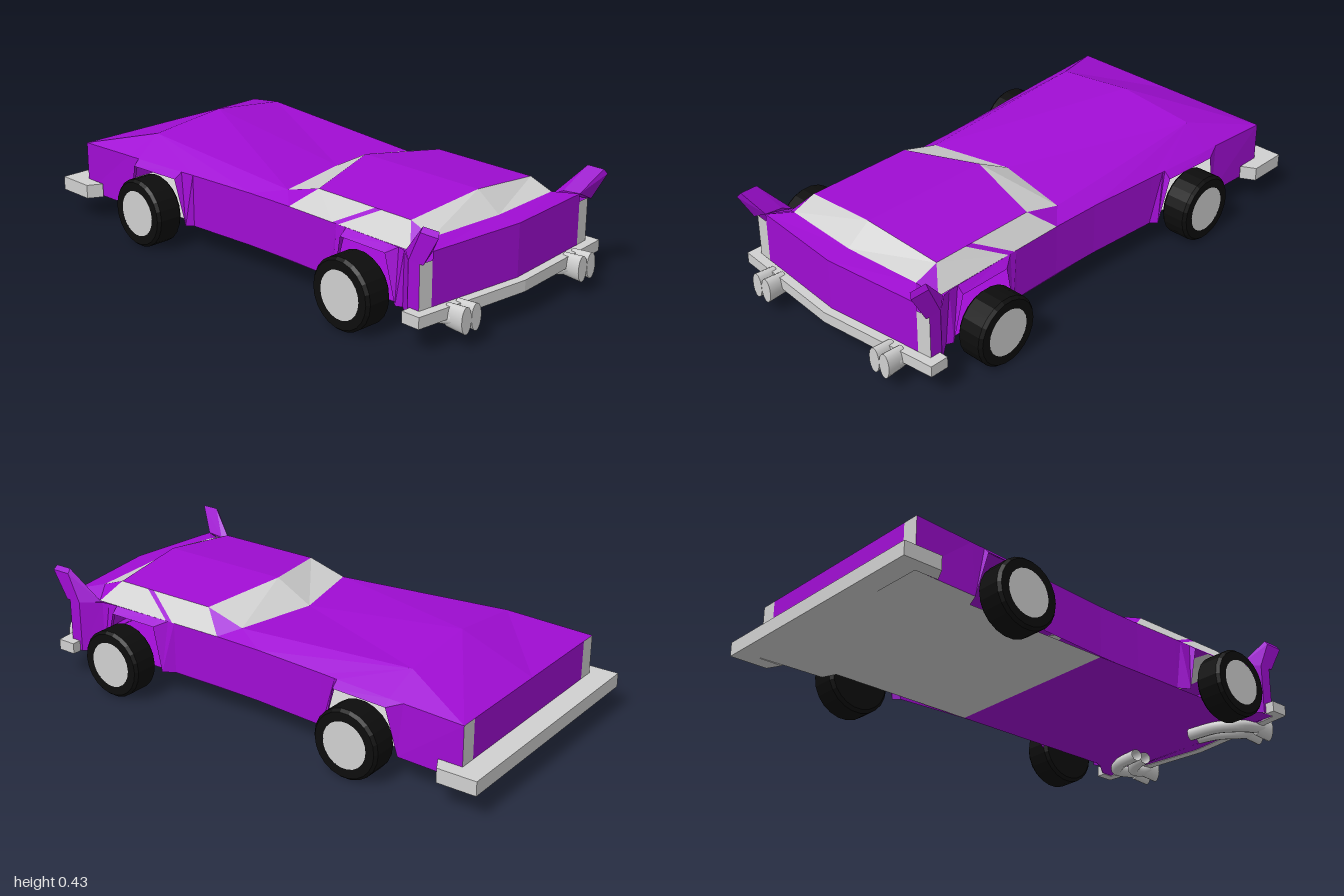
import * as THREE from 'three';
import { ConvexGeometry } from 'three/addons/geometries/ConvexGeometry.js';

const paint = new THREE.MeshStandardMaterial({ color: 0xa00dd3, side: THREE.DoubleSide });
paint.name = 'purplePaint';
const silver = new THREE.MeshStandardMaterial({ color: 0xd0d0d0, side: THREE.DoubleSide });
silver.name = 'silver';
const rubber = new THREE.MeshStandardMaterial({ color: 0x0d0d0d });
rubber.name = 'blackRubber';

// Flat-shaded panels: each polygon is given for the +x half and mirrored, facing outwards
function panels(name, material, polygons) {
  const pos = [];
  const a = new THREE.Vector3(), b = new THREE.Vector3();
  for (const side of [1, -1]) {
    for (const poly of polygons) {
      const p = poly.map(([x, y, z]) => new THREE.Vector3(x * side, y, z));
      const normal = new THREE.Vector3(), mid = new THREE.Vector3();
      for (let i = 1; i < p.length - 1; i++) {
        normal.add(a.subVectors(p[i], p[0]).cross(b.subVectors(p[i + 1], p[0])));
      }
      p.forEach((v) => mid.addScaledVector(v, 1 / p.length));
      const core = new THREE.Vector3(0, 0.2, THREE.MathUtils.clamp(mid.z, -0.7, 0.7));
      if (normal.dot(mid.sub(core)) < 0) p.reverse();
      for (let i = 1; i < p.length - 1; i++) {
        for (const v of [p[0], p[i], p[i + 1]]) pos.push(v.x, v.y, v.z);
      }
    }
  }
  const g = new THREE.BufferGeometry();
  g.setAttribute('position', new THREE.Float32BufferAttribute(pos, 3));
  g.computeVertexNormals();
  const mesh = new THREE.Mesh(g, material);
  mesh.name = name;
  return mesh;
}

// Bumper: half plan outline of [x, z], mirrored and extruded upwards
function bumper(name, outer, inner, y, height) {
  const half = [...outer, ...inner];
  const other = half.filter(([x]) => x > 0).map(([x, z]) => [-x, z]).reverse();
  const pts = [...half, ...other].map(([x, z]) => new THREE.Vector2(x, -z));
  const g = new THREE.ExtrudeGeometry(new THREE.Shape(pts), { depth: height, bevelEnabled: false });
  g.rotateX(-Math.PI / 2);
  g.translate(0, y, 0);
  const mesh = new THREE.Mesh(g, silver);
  mesh.name = name;
  return mesh;
}

function wheel(name, side, z) {
  const group = new THREE.Group();
  group.name = name;
  const profile = [[0, -0.057], [0.122, -0.057], [0.134, -0.045], [0.134, 0.045], [0.124, 0.057], [0.09, 0.057]];
  const tyreGeo = new THREE.LatheGeometry(profile.map(([r, h]) => new THREE.Vector2(r, h)), 22).toNonIndexed();
  tyreGeo.computeVertexNormals();
  const tyre = new THREE.Mesh(tyreGeo, rubber);
  tyre.name = 'tyre';
  const hub = new THREE.Mesh(new THREE.CircleGeometry(0.091, 22).rotateX(-Math.PI / 2).translate(0, 0.0565, 0), silver);
  hub.name = 'hubcap';
  group.add(tyre, hub);
  group.rotation.z = -side * Math.PI / 2;
  group.position.set(side * 0.478, 0.134, z);
  return group;
}

// Exhaust pipe running inwards under the floor, with an upright oval tip
function exhaust(side, x, lead) {
  const group = new THREE.Group();
  group.name = 'exhaust';
  const path = new THREE.CatmullRomCurve3([
    [0.15, 0.07, lead], [x - 0.07, 0.07, lead + 0.02], [x - 0.015, 0.07, lead + 0.06],
    [x, 0.08, lead + 0.11], [x, 0.1, 0.95],
  ].map(([px, py, pz]) => new THREE.Vector3(side * px, py, pz)));
  const pipe = new THREE.Mesh(new THREE.TubeGeometry(path, 20, 0.025, 10), silver);
  pipe.name = 'exhaustPipe';
  const tip = new THREE.Mesh(new THREE.CylinderGeometry(0.025, 0.022, 0.08, 14).rotateX(Math.PI / 2).scale(1, 2, 1), silver);
  tip.name = 'exhaustTip';
  tip.position.set(side * x, 0.105, 0.96);
  group.add(pipe, tip);
  return group;
}

export function createModel() {
  const car = new THREE.Group();
  car.name = 'car';

  // Side stations: belt z, belt x, lower z, lower y, lower x (raised over the wheel arches)
  const stations = [
    [-0.91, 0.452, -0.91, 0.1, 0.452], [-0.66, 0.435, -0.645, 0.1, 0.442],
    [-0.6, 0.432, -0.6, 0.28, 0.455], [-0.37, 0.415, -0.37, 0.28, 0.442],
    [-0.36, 0.414, -0.325, 0.1, 0.43], [-0.3, 0.408, -0.3, 0.1, 0.408],
    [0, 0.387, 0, 0.1, 0.387], [0.2, 0.382, 0.2, 0.1, 0.382],
    [0.41, 0.384, 0.41, 0.1, 0.384], [0.44, 0.384, 0.455, 0.1, 0.412],
    [0.49, 0.385, 0.49, 0.28, 0.415], [0.7, 0.388, 0.7, 0.28, 0.415],
    [0.74, 0.39, 0.745, 0.1, 0.41], [0.77, 0.395, 0.77, 0.1, 0.398],
    [0.84, 0.452, 0.84, 0.1, 0.452], [0.89, 0.452, 0.89, 0.1, 0.452],
  ];
  const belt = stations.map(([z, x]) => [x, 0.305, z]);
  const sill = stations.map(([, , z, y, x]) => [x, y, z]);
  const sides = [];
  for (let i = 0; i < stations.length - 1; i++) sides.push([belt[i], belt[i + 1], sill[i + 1], sill[i]]);
  car.add(panels('bodySides', paint, sides));

  // Key points of the upper body, centre line (c) and shoulder (s)
  const crestC = [0, 0.415, -0.62], crestS = [0.32, 0.38, -0.62];
  const cowlC = [0, 0.335, 0.06], cowlS = [0.32, 0.335, 0.13];
  const roofC = [0, 0.415, 0.21], roofS = [0.32, 0.38, 0.29];
  const backC = [0, 0.415, 0.75], backS = [0.32, 0.38, 0.73];
  const deckC = [0, 0.345, 0.845], deckS = [0.32, 0.345, 0.825];
  const tailC = [0, 0.34, 0.937], tailS = [0.395, 0.335, 0.895];
  const beltFront = [0.382, 0.305, 0.2], beltBack = [0.388, 0.305, 0.79];

  // Bonnet, with its sloping shoulders fanned out to the belt line
  const bonnet = [
    [[0, 0.305, -0.91], belt[0], crestS, crestC],
    [crestC, crestS, cowlS, cowlC],
    [cowlS, crestS, belt[6]], [cowlS, belt[6], belt[7]],
  ];
  for (let i = 0; i < 6; i++) bonnet.push([crestS, belt[i], belt[i + 1]]);
  car.add(panels('bonnet', paint, bonnet));

  // Roof, pillars and rear deck
  car.add(panels('roof', paint, [[roofC, roofS, backS, backC]]));
  car.add(panels('pillars', paint, [
    [cowlS, beltFront, roofS],
    [[0.32, 0.38, 0.565], [0.384, 0.305, 0.42], [0.384, 0.305, 0.45], [0.32, 0.38, 0.595]],
    [backS, beltBack, deckS],
  ]));
  car.add(panels('rearDeck', paint, [[deckC, deckS, tailS, tailC], [deckS, beltBack, tailS]]));

  // Glass
  car.add(panels('windscreen', silver, [[cowlC, cowlS, roofS, roofC]]));
  car.add(panels('rearWindow', silver, [[backC, backS, deckS, deckC]]));
  car.add(panels('sideWindows', silver, [
    [roofS, beltFront, [0.384, 0.305, 0.42], [0.32, 0.38, 0.565]],
    [[0.32, 0.38, 0.595], [0.384, 0.305, 0.45], beltBack, backS],
  ]));

  // Nose and tail faces with silver lamp strips at the corners
  car.add(panels('noseFace', paint, [[[0, 0.305, -0.91], [0.385, 0.305, -0.91], [0.385, 0.1, -0.91], [0, 0.1, -0.91]]]));
  car.add(panels('noseLamps', silver, [[[0.385, 0.305, -0.91], belt[0], sill[0], [0.385, 0.1, -0.91]]]));
  car.add(panels('tailFace', paint, [[tailC, tailS, [0.395, 0.1, 0.895], [0, 0.1, 0.937]]]));
  car.add(panels('tailLamps', silver, [[[0.395, 0.305, 0.895], belt[15], sill[15], [0.395, 0.1, 0.895]]]));

  // Flat floor, silver towards the nose
  const floorEdge = [[0.452, -0.91], [0.442, -0.645], [0.385, -0.62], [0.385, 0], [0.385, 0.74], [0.398, 0.77], [0.45, 0.84], [0.45, 0.89]];
  const floor = floorEdge.slice(1).map(([x, z], i) => {
    const [px, pz] = floorEdge[i];
    return [[0, 0.1, pz], [px, 0.1, pz], [x, 0.1, z], [0, 0.1, z]];
  });
  floor.push([[0, 0.1, 0.89], [0.395, 0.1, 0.895], [0, 0.1, 0.937]]);
  car.add(panels('frontFloor', silver, floor.slice(0, 3)));
  car.add(panels('rearFloor', paint, floor.slice(3)));

  // Bumpers
  car.add(bumper('noseBumper', [[0, -1], [0.51, -1], [0.51, -0.845]], [[0.453, -0.815], [0.453, -0.911], [0, -0.911]], 0.098, 0.055));
  car.add(bumper('tailBumper', [[0, 0.972], [0.49, 0.925], [0.49, 0.85]], [[0.453, 0.85], [0.453, 0.892], [0, 0.937]], 0.098, 0.043));

  for (const side of [1, -1]) {
    // Swept tail fins
    const fin = new THREE.Mesh(new ConvexGeometry([
      [0.395, 0.305, 0.775], [0.392, 0.33, 0.825], [0.395, 0.335, 0.895], [0.452, 0.305, 0.84], [0.452, 0.305, 0.905],
      [0.44, 0.433, 0.89], [0.44, 0.433, 0.96], [0.453, 0.415, 0.89], [0.453, 0.415, 0.968],
    ].map(([x, y, z]) => new THREE.Vector3(side * x, y, z))), paint);
    fin.name = 'tailFin';
    car.add(fin);

    car.add(wheel('tailWheel', side, 0.607), wheel('noseWheel', side, -0.488));
    car.add(exhaust(side, 0.29, 0.79), exhaust(side, 0.34, 0.74));
  }
  return car;
}
